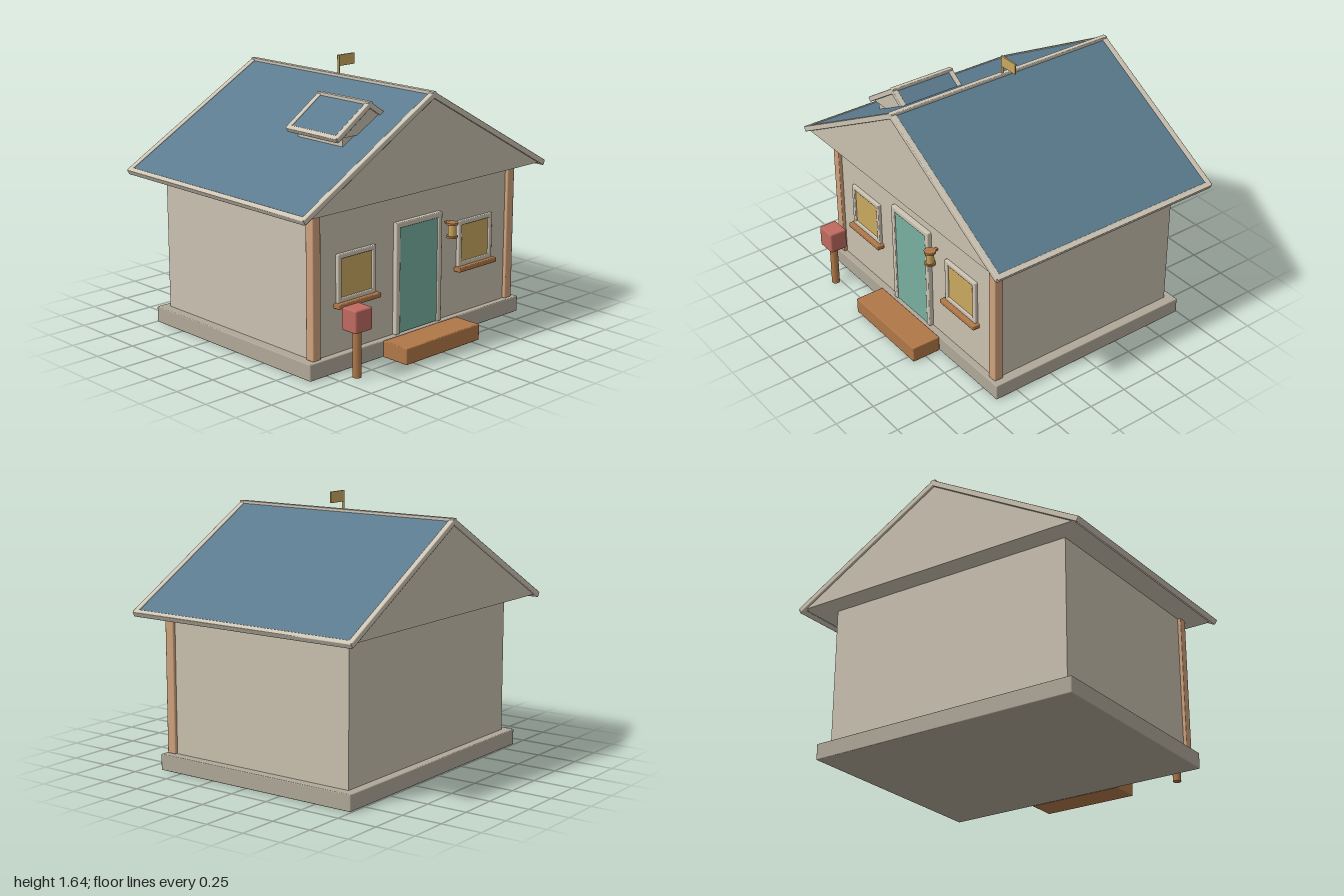
import * as THREE from 'three';
import { RoundedBoxGeometry } from 'three/addons/geometries/RoundedBoxGeometry.js';

const mat = (name, color) => {
  const m = new THREE.MeshStandardMaterial({ color });
  m.name = name;
  return m;
};

export function createModel() {
  const plaster = mat('plaster', 0xcac1b0);
  const trim = mat('trim', 0xcdc4b3);
  const stone = mat('stone', 0xb0a899);
  const slate = mat('slate', 0x5b7b8e);
  const teal = mat('teal', 0x78b0a0);
  const gold = mat('gold', 0xc9a85f);
  const lightWood = mat('lightWood', 0xcfa27c);
  const wood = mat('wood', 0xb07848);
  const red = mat('red', 0xc06a60);

  const house = new THREE.Group();
  house.name = 'house';

  const add = (parent, name, geometry, material, x = 0, y = 0, z = 0) => {
    const mesh = new THREE.Mesh(geometry, material);
    mesh.name = name;
    mesh.position.set(x, y, z);
    parent.add(mesh);
    return mesh;
  };
  // box given by its limits on each axis, with slightly softened edges
  const box = (parent, name, material, [x0, x1], [y0, y1], [z0, z1], bevel = 0.006) => {
    const size = [x1 - x0, y1 - y0, z1 - z0];
    const geometry = bevel ? new RoundedBoxGeometry(...size, 1, bevel) : new THREE.BoxGeometry(...size);
    return add(parent, name, geometry, material, (x0 + x1) / 2, (y0 + y1) / 2, (z0 + z1) / 2);
  };

  // gabled roof: solid gable prism, two slabs, and edge bars
  const gabledRoof = (name, halfWidth, ridgeY, eaveY, z0, z1, bar) => {
    const roof = new THREE.Group();
    roof.name = name;
    const rise = ridgeY - eaveY;
    const length = Math.hypot(halfWidth, rise);
    const angle = Math.atan2(rise, halfWidth);
    const depth = z1 - z0;
    const midZ = (z0 + z1) / 2;

    const triangle = new THREE.Shape();
    triangle.moveTo(-halfWidth, eaveY);
    triangle.lineTo(halfWidth, eaveY);
    triangle.lineTo(0, ridgeY);
    const prism = new THREE.ExtrudeGeometry(triangle, { depth: depth - 0.03, bevelEnabled: false });
    add(roof, 'gable', prism, plaster, 0, 0, z0 + 0.015);

    for (const side of [-1, 1]) {
      const slope = new THREE.Group();
      slope.name = side < 0 ? 'rightSlope' : 'leftSlope';
      slope.position.set(side * halfWidth / 2, (ridgeY + eaveY) / 2, midZ);
      slope.rotation.z = -side * angle;
      roof.add(slope);
      add(slope, 'roofSlab', new THREE.BoxGeometry(length, bar * 0.6, depth - bar), slate);
      for (const end of [-1, 1]) {
        add(slope, 'rakeBar', new RoundedBoxGeometry(length + bar * 0.6, bar, bar, 1, 0.005), trim,
          0, 0, end * (depth - bar) / 2);
      }
      add(slope, 'eaveBar', new RoundedBoxGeometry(bar, bar, depth - 0.01, 1, 0.005), trim,
        side * length / 2, 0, 0);
    }
    add(roof, 'ridgeBar', new RoundedBoxGeometry(bar, bar, depth, 1, 0.005), trim, 0, ridgeY + 0.003, midZ);
    house.add(roof);
    return roof;
  };

  // base, walls and corner posts
  box(house, 'foundation', stone, [-0.88, 0.88], [0, 0.1], [-0.745, 0.65]);
  box(house, 'walls', plaster, [-0.82, 0.82], [0.1, 0.97], [-0.69, 0.61], 0);
  box(house, 'frontStep', wood, [-0.31, 0.31], [0, 0.1], [0.65, 0.84]);
  for (const s of [-1, 1]) {
    const c = s * 0.81;
    box(house, 'cornerPost', lightWood, [c - 0.03, c + 0.03], [0.1, 0.965], [0.572, 0.632]);
  }

  // main roof and dormer
  gabledRoof('mainRoof', 0.985, 1.514, 0.962, -0.84, 0.74, 0.034);
  const dormer = gabledRoof('dormer', 0.245, 1.468, 1.305, 0.1, 0.53, 0.032);
  dormer.position.x = -0.3;
  box(dormer, 'dormerWalls', plaster, [-0.19, 0.12], [1.18, 1.31], [0.13, 0.5], 0);

  // rectangular frame of four bars, or three when it has no bottom bar
  const frame = (parent, x, halfWidth, y0, y1, z1, w, bottom) => {
    for (const s of [-1, 1]) {
      const c = x + s * (halfWidth - w / 2);
      box(parent, 'frameSide', trim, [c - w / 2, c + w / 2], [y0, y1], [0.6, z1]);
    }
    const span = [x - halfWidth, x + halfWidth];
    box(parent, 'frameTop', trim, span, [y1 - w, y1], [0.6, z1]);
    if (bottom) box(parent, 'frameBottom', trim, span, [y0, y0 + w], [0.6, z1]);
  };

  // door
  const door = new THREE.Group();
  door.name = 'door';
  house.add(door);
  frame(door, 0, 0.192, 0.1, 0.777, 0.638, 0.034, false);
  box(door, 'doorLeaf', teal, [-0.16, 0.16], [0.105, 0.745], [0.6, 0.63], 0);

  // windows
  for (const s of [-1, 1]) {
    const window = new THREE.Group();
    window.name = s < 0 ? 'rightWindow' : 'leftWindow';
    house.add(window);
    const x = s * 0.497;
    frame(window, x, 0.15, 0.397, 0.683, 0.63, 0.029, true);
    box(window, 'windowPane', gold, [x - 0.122, x + 0.122], [0.425, 0.655], [0.612, 0.62], 0);
    box(window, 'windowSill', wood, [x - 0.167, x + 0.167], [0.37, 0.4], [0.605, 0.656]);
  }

  // wall lamp
  const lamp = new THREE.Group();
  lamp.name = 'wallLamp';
  lamp.position.set(0.25, 0, 0.662);
  house.add(lamp);
  const disc = (name, r, y0, y1, m) =>
    add(lamp, name, new THREE.CylinderGeometry(r, r, y1 - y0, 16), m, 0, (y0 + y1) / 2, 0);
  disc('lampCap', 0.036, 0.69, 0.704, wood);
  disc('lampGlass', 0.025, 0.62, 0.69, gold);
  disc('lampBase', 0.034, 0.61, 0.622, wood);
  box(lamp, 'lampBracket', wood, [-0.01, 0.01], [0.69, 0.702], [-0.06, 0], 0);

  // mailbox
  const mailbox = new THREE.Group();
  mailbox.name = 'mailbox';
  house.add(mailbox);
  add(mailbox, 'mailboxPost', new THREE.CylinderGeometry(0.025, 0.025, 0.285, 16), wood, -0.65, 0.15, 0.785);
  box(mailbox, 'mailboxBody', red, [-0.713, -0.583], [0.285, 0.42], [0.725, 0.84], 0.01);

  // ridge flag
  const flag = new THREE.Group();
  flag.name = 'flag';
  house.add(flag);
  add(flag, 'flagPole', new THREE.CylinderGeometry(0.008, 0.008, 0.13, 10), gold, 0, 1.58, -0.05);
  box(flag, 'flagPanel', gold, [-0.006, 0.127], [1.578, 1.645], [-0.055, -0.045], 0);

  return house;
}
